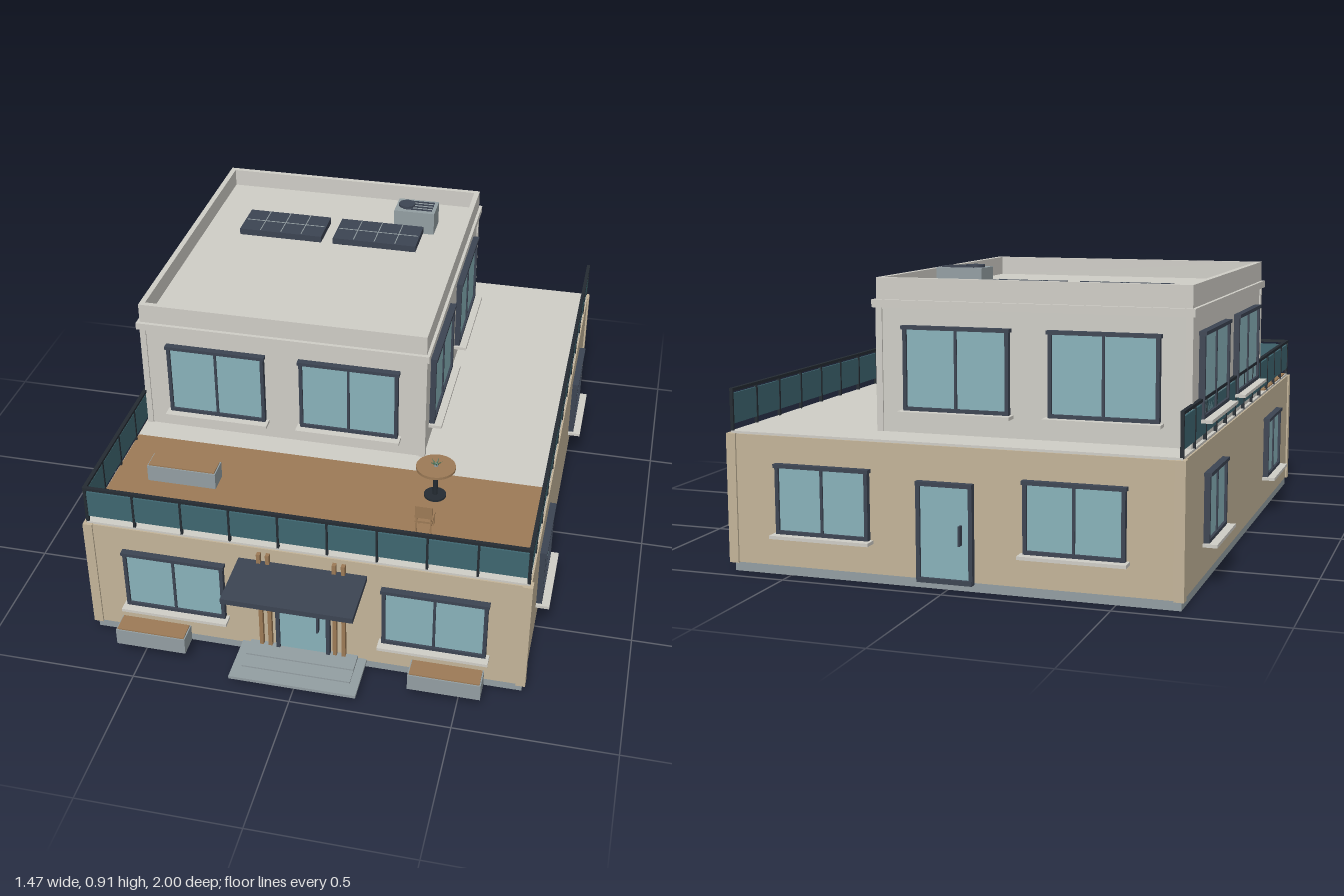
import * as THREE from 'three';

const mat = (name, color) => {
  const m = new THREE.MeshStandardMaterial({ color });
  m.name = name;
  return m;
};

export function createModel() {
  const M = {
    tan: mat('tan wall', 0xc3b499),
    light: mat('light plaster', 0xcfcdc6),
    wood: mat('wood', 0x9c7a56),
    glass: mat('window glass', 0x88b2ba),
    railGlass: mat('railing glass', 0x3e6670),
    frame: mat('dark frame', 0x3c4452),
    rail: mat('railing metal', 0x242b32),
    stone: mat('stone', 0x939ea2),
    leaf: mat('leaf', 0x4d7358),
  };
  const root = new THREE.Group();
  const group = (name, parent = root) => {
    const g = new THREE.Group();
    g.name = name;
    parent.add(g);
    return g;
  };
  // Box given by its minimum and maximum along each axis
  const box = (name, m, x0, x1, y0, y1, z0, z1, parent = root) => {
    const b = new THREE.Mesh(new THREE.BoxGeometry(x1 - x0, y1 - y0, z1 - z0), m);
    b.position.set((x0 + x1) / 2, (y0 + y1) / 2, (z0 + z1) / 2);
    b.name = name;
    parent.add(b);
    return b;
  };
  const cyl = (name, m, r, x, y0, y1, z, parent = root, sides = 24) => {
    const c = new THREE.Mesh(new THREE.CylinderGeometry(r, r, y1 - y0, sides), m);
    c.position.set(x, (y0 + y1) / 2, z);
    c.name = name;
    parent.add(c);
    return c;
  };
  const corners = (name, m, x0, x1, y0, y1, z0, z1, t) => {
    for (const x of [x0, x1 - t]) for (const z of [z0, z1 - t]) box(name, m, x, x + t, y0, y1, z, z + t);
  };

  // Ground floor
  box('plinth', M.stone, -0.685, 0.685, 0, 0.03, -0.945, 0.8);
  box('lowerWalls', M.tan, -0.69, 0.69, 0.03, 0.42, -0.955, 0.805);
  corners('lowerCornerTrim', M.tan, -0.696, 0.696, 0.028, 0.421, -0.961, 0.811, 0.03);
  box('terraceRoof', M.light, -0.685, 0.685, 0.42, 0.427, -0.95, 0.8);
  box('deck', M.wood, -0.682, 0.682, 0.425, 0.432, 0.33, 0.765);

  // Upper floor with cornice and open parapet
  box('upperWalls', M.light, -0.675, 0.265, 0.425, 0.822, -0.815, 0.24);
  corners('upperCornerTrim', M.light, -0.68, 0.27, 0.425, 0.8, -0.82, 0.245, 0.02);
  box('cornice', M.light, -0.688, 0.278, 0.795, 0.818, -0.83, 0.255);
  box('parapetFront', M.light, -0.678, 0.268, 0.818, 0.882, 0.225, 0.243);
  box('parapetBack', M.light, -0.678, 0.268, 0.818, 0.882, -0.817, -0.799);
  box('parapetLeft', M.light, 0.25, 0.268, 0.818, 0.882, -0.799, 0.225);
  box('parapetRight', M.light, -0.678, -0.66, 0.818, 0.882, -0.799, 0.225);

  // Window built against a wall at local z = 0, standing on its sill
  const addWindow = (x, y, z, angle, w, h) => {
    const g = group('window');
    g.position.set(x, y, z);
    g.rotation.y = angle;
    const a = w / 2, t = 0.011;
    box('pane', M.glass, -a + t, a - t, t, h - t, 0, 0.01, g);
    box('frameLeft', M.frame, a - t, a, 0, h, 0, 0.018, g);
    box('frameRight', M.frame, -a, -a + t, 0, h, 0, 0.018, g);
    box('frameBottom', M.frame, -a, a, 0, t, 0, 0.018, g);
    box('frameTop', M.frame, -a - 0.004, a + 0.004, h - t, h, 0, 0.022, g);
    box('mullion', M.frame, -0.004, 0.004, t, h - t, 0, 0.015, g);
    box('sill', M.light, -a - 0.01, a + 0.01, -0.01, 0, 0, 0.043, g);
  };
  const F = 0, B = Math.PI, L = Math.PI / 2, R = -Math.PI / 2;
  for (const s of [-1, 1]) {
    addWindow(s * 0.41, 0.13, 0.805, F, 0.322, 0.21);
    addWindow(s * 0.384, 0.13, -0.955, B, 0.296, 0.21);
    for (const z of [0.41, -0.565]) addWindow(s * 0.69, 0.13, z, s > 0 ? L : R, 0.254, 0.207);
  }
  for (const x of [-0.427, 0.017]) {
    addWindow(x, 0.495, 0.24, F, 0.326, 0.25);
    addWindow(x, 0.495, -0.815, B, 0.326, 0.25);
  }
  for (const z of [-0.035, -0.537]) {
    addWindow(0.265, 0.495, z, L, 0.362, 0.25);
    addWindow(-0.675, 0.495, z, R, 0.362, 0.25);
  }

  // Glazed doors with a bar handle
  const addDoor = (name, z, angle) => {
    const g = group(name);
    g.position.set(0, 0.03, z);
    g.rotation.y = angle;
    box('pane', M.glass, -0.074, 0.074, 0.008, 0.276, 0, 0.01, g);
    for (const s of [-1, 1]) box('jamb', M.frame, s * 0.08 - 0.006, s * 0.08 + 0.006, 0, 0.287, 0, 0.018, g);
    box('head', M.frame, -0.086, 0.086, 0.276, 0.288, 0, 0.022, g);
    box('threshold', M.frame, -0.085, 0.085, -0.006, 0.008, 0, 0.02, g);
    box('handle', M.frame, 0.047, 0.053, 0.11, 0.168, 0.01, 0.03, g);
  };
  addDoor('frontDoor', 0.805, F);
  addDoor('backDoor', -0.955, B);

  // Entrance: canopy, wooden slats, steps
  box('canopy', M.frame, -0.2, 0.2, 0.355, 0.373, 0.805, 1);
  for (const x of [-0.134, -0.106, 0.101, 0.129])
    box('entranceSlat', M.wood, x - 0.006, x + 0.006, 0.045, 0.406, 0.8, 0.82);
  box('lowerStep', M.stone, -0.2, 0.2, 0.026, 0.036, 0.8, 0.97);
  box('middleStep', M.stone, -0.172, 0.172, 0.036, 0.041, 0.8, 0.92);
  box('upperStep', M.stone, -0.172, 0.172, 0.041, 0.046, 0.8, 0.87);
  box('stepBase', M.stone, -0.085, 0.085, 0.02, 0.026, 0.8, 0.95);

  // Stone benches with wooden tops
  const bench = (x, y, z) => {
    const g = group('bench');
    box('benchBase', M.stone, x - 0.112, x + 0.112, y, y + 0.056, z - 0.035, z + 0.035, g);
    box('benchTop', M.wood, x - 0.108, x + 0.108, y + 0.055, y + 0.06, z - 0.031, z + 0.031, g);
  };
  bench(-0.467, 0.046, 0.88);
  bench(0.46, 0.046, 0.88);
  bench(-0.455, 0.432, 0.53);

  // Railing run of length len along local x, starting at the origin
  const railing = (name, x, z, angle, len, n) => {
    const g = group(name);
    g.position.set(x, 0, z);
    g.rotation.y = angle;
    box('railGlass', M.railGlass, 0, len, 0.447, 0.538, -0.003, 0.003, g);
    box('topRail', M.rail, -0.004, len + 0.004, 0.545, 0.554, -0.006, 0.006, g);
    for (let i = 0; i <= n; i++) {
      const px = (i / n) * len;
      box('post', M.rail, px - 0.0035, px + 0.0035, 0.425, 0.547, -0.005, 0.005, g);
    }
  };
  railing('frontRailing', -0.682, 0.795, 0, 1.364, 9);
  for (const s of [-1, 1]) railing('sideRailing', s * 0.682, 0.795, Math.PI / 2, 1.74, 12);

  // Terrace table with a small plant
  const table = group('table');
  cyl('tableBase', M.rail, 0.035, 0.34, 0.432, 0.439, 0.445, table);
  cyl('tableStem', M.rail, 0.008, 0.34, 0.439, 0.537, 0.445, table, 12);
  cyl('tableTop', M.wood, 0.062, 0.34, 0.537, 0.546, 0.445, table, 32);
  cyl('plantPot', M.stone, 0.007, 0.34, 0.546, 0.555, 0.445, table, 10);
  for (let i = 0; i < 5; i++) {
    const leaf = new THREE.Mesh(new THREE.ConeGeometry(0.004, 0.026, 5).translate(0, 0.013, 0), M.leaf);
    leaf.position.set(0.34, 0.55, 0.445);
    leaf.rotation.set(0, (i * Math.PI * 2) / 5, -0.9, 'YXZ');
    leaf.name = 'leaf';
    table.add(leaf);
  }

  // Chair facing the table
  const chair = group('chair');
  box('seat', M.wood, 0.312, 0.366, 0.474, 0.481, 0.59, 0.645, chair);
  box('backrest', M.wood, 0.312, 0.366, 0.492, 0.535, 0.639, 0.645, chair);
  for (const x of [0.314, 0.359]) {
    box('frontLeg', M.wood, x, x + 0.005, 0.432, 0.474, 0.592, 0.597, chair);
    box('backLeg', M.wood, x, x + 0.005, 0.432, 0.5, 0.639, 0.644, chair);
  }

  // Solar panels with thin cell lines
  for (const x of [-0.378, -0.04]) {
    const g = group('solarPanel');
    box('panel', M.frame, x - 0.148, x + 0.148, 0.83, 0.852, -0.55, -0.396, g);
    for (let i = -1; i <= 1; i++)
      box('cellLine', M.stone, x + i * 0.074 - 0.0015, x + i * 0.074 + 0.0015, 0.852, 0.8535, -0.545, -0.401, g);
    box('cellLine', M.stone, x - 0.143, x + 0.143, 0.852, 0.8535, -0.4745, -0.4715, g);
    for (const sx of [-0.12, 0.12]) box('panelFoot', M.rail, x + sx - 0.006, x + sx + 0.006, 0.82, 0.831, -0.54, -0.41, g);
  }

  // Rooftop air unit with fan and vent slats
  const unit = group('airUnit');
  box('unitCase', M.stone, 0, 0.144, 0.82, 0.903, -0.655, -0.555, unit);
  cyl('fan', M.frame, 0.029, 0.037, 0.903, 0.911, -0.605, unit);
  for (let i = 0; i < 4; i++)
    box('ventSlat', M.frame, 0.03, 0.133, 0.903, 0.907, -0.638 + i * 0.02, -0.633 + i * 0.02, unit);

  return root;
}
